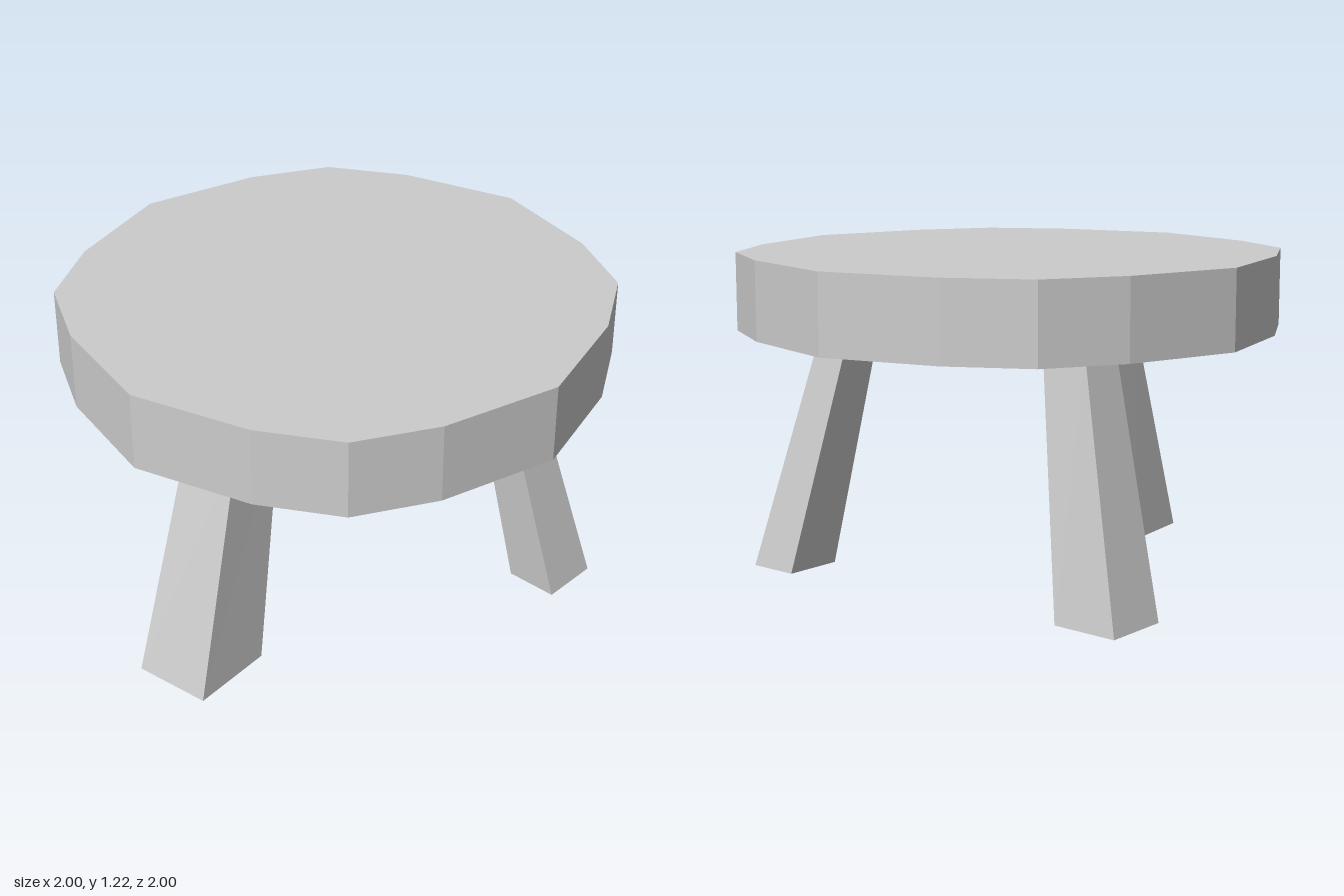
import * as THREE from 'three';

const SEAT_BOTTOM = 0.925;
const SEAT_TOP = 1.215;
const material = new THREE.MeshStandardMaterial({ color: 0xcccccc, flatShading: true });

// Sixteen-sided round seat: one quarter of the rim, turned four times
function createSeat() {
  const quarter = [[1, 0], [0.88, 0.44], [0.72, 0.72], [0.44, 0.88]];
  const rim = [];
  for (let q = 0; q < 4; q++) {
    for (const [x, y] of quarter) {
      rim.push(new THREE.Vector2(x, y).rotateAround(new THREE.Vector2(), q * Math.PI / 2));
    }
  }
  const geometry = new THREE.ExtrudeGeometry(new THREE.Shape(rim), {
    depth: SEAT_TOP - SEAT_BOTTOM, bevelEnabled: false,
  });
  geometry.rotateX(-Math.PI / 2).translate(0, SEAT_BOTTOM, 0);
  const seat = new THREE.Mesh(geometry, material);
  seat.name = 'seat';
  return seat;
}

// Splayed leg: a box whose corners move to the given foot and top outlines.
// Corner order in [x, z]: front right, front left, back left, back right
function createLeg({ name, foot, top }) {
  const geometry = new THREE.BoxGeometry(1, 1, 1);
  const pos = geometry.attributes.position;
  for (let i = 0; i < pos.count; i++) {
    const isTop = pos.getY(i) > 0;
    const left = pos.getX(i) > 0;
    const corner = pos.getZ(i) > 0 ? (left ? 1 : 0) : (left ? 2 : 3);
    const [x, z] = (isTop ? top : foot)[corner];
    pos.setXYZ(i, x, isTop ? SEAT_BOTTOM : 0, z);
  }
  geometry.computeVertexNormals();
  const leg = new THREE.Mesh(geometry, material);
  leg.name = name;
  return leg;
}

const legs = [
  {
    name: 'frontLeg',
    foot: [[-0.065, 0.98], [0.23, 0.95], [0.205, 0.63], [-0.11, 0.67]],
    top: [[-0.05, 0.70], [0.165, 0.68], [0.145, 0.45], [-0.08, 0.48]],
  },
  {
    name: 'backLeftLeg',
    foot: [[0.565, -0.39], [0.765, -0.39], [0.765, -0.62], [0.565, -0.62]],
    top: [[0.405, -0.29], [0.55, -0.29], [0.55, -0.45], [0.405, -0.45]],
  },
  {
    name: 'backRightLeg',
    foot: [[-0.875, -0.25], [-0.62, -0.25], [-0.62, -0.505], [-0.88, -0.51]],
    top: [[-0.635, -0.19], [-0.455, -0.19], [-0.455, -0.37], [-0.64, -0.37]],
  },
];

export function createModel() {
  const stool = new THREE.Group();
  stool.name = 'stool';
  stool.add(createSeat(), ...legs.map(createLeg));
  return stool;
}
